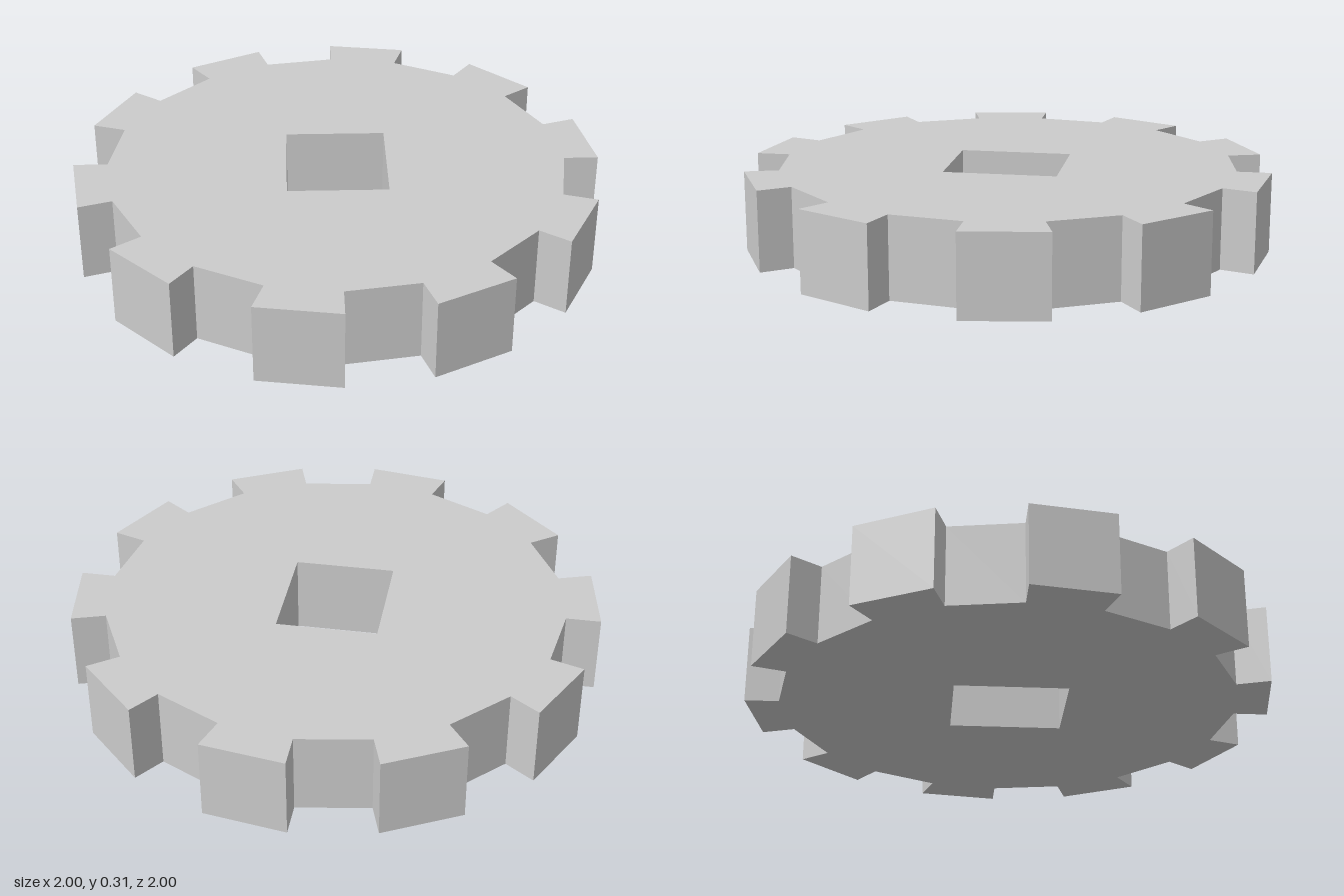
import * as THREE from 'three';

const TEETH = 10;
const OUTER = 1;
const INNER = 0.87;
const HEIGHT = 0.305;
const HOLE_X = 0.19;
const HOLE_Z = 0.215;

export function createModel() {
  const group = new THREE.Group();
  group.name = 'gear';

  // Outline: equal steps, alternating between tooth and gap
  const points = [];
  const step = Math.PI / TEETH;
  for (let i = 0; i < TEETH * 2; i++) {
    const r = i % 2 === 0 ? OUTER : INNER;
    for (const a of [i * step, (i + 1) * step]) {
      points.push(new THREE.Vector2(r * Math.cos(a), r * Math.sin(a)));
    }
  }
  const shape = new THREE.Shape(points);

  // Rectangular shaft hole
  shape.holes.push(new THREE.Path([
    new THREE.Vector2(-HOLE_X, -HOLE_Z),
    new THREE.Vector2(-HOLE_X, HOLE_Z),
    new THREE.Vector2(HOLE_X, HOLE_Z),
    new THREE.Vector2(HOLE_X, -HOLE_Z),
  ]));

  // Lay the extruded disc flat on the ground
  const geometry = new THREE.ExtrudeGeometry(shape, { depth: HEIGHT, bevelEnabled: false });
  geometry.rotateX(-Math.PI / 2);

  const wheel = new THREE.Mesh(
    geometry,
    new THREE.MeshStandardMaterial({ color: 0xcccccc, flatShading: true }),
  );
  wheel.name = 'toothedWheel';
  group.add(wheel);
  return group;
}
